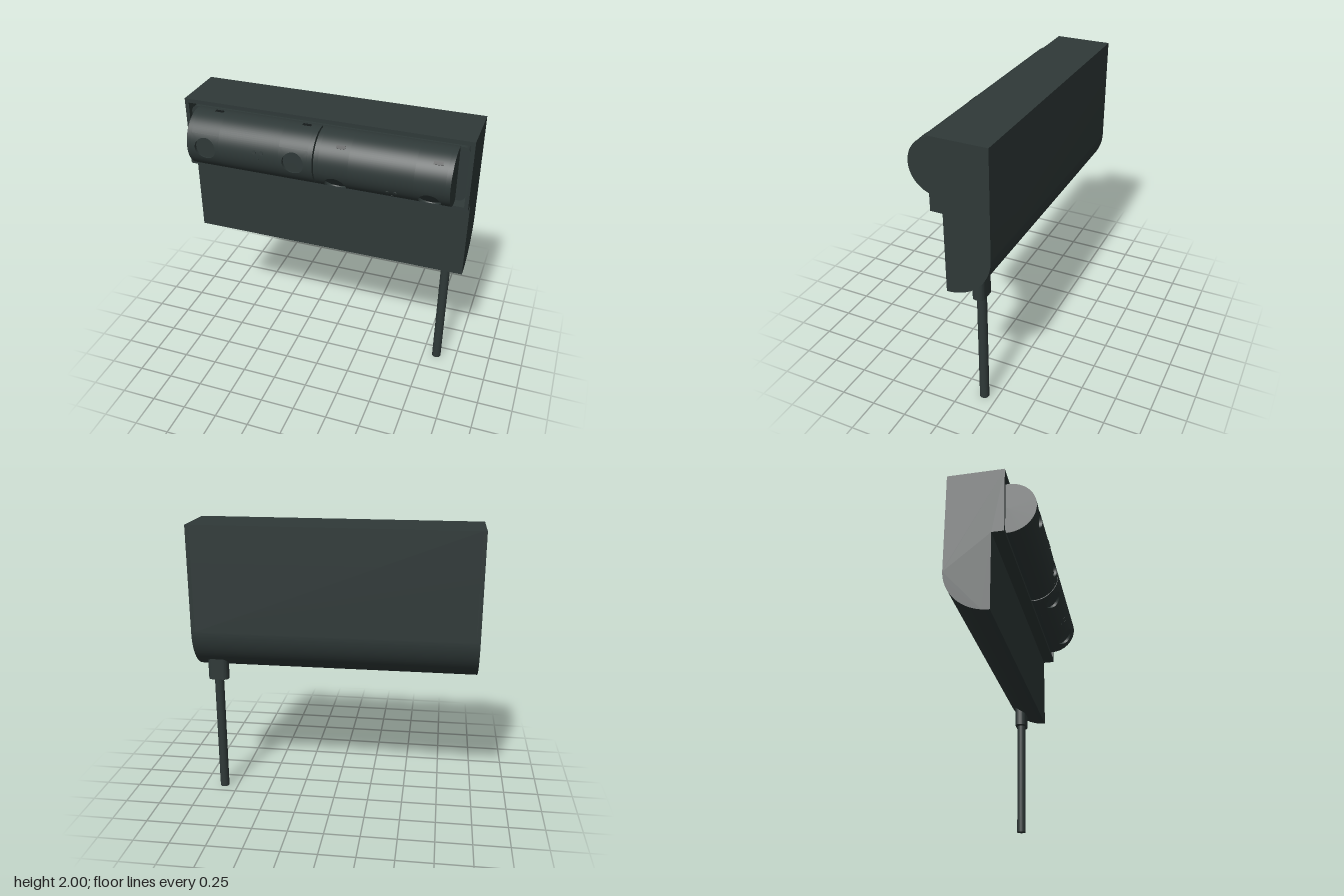
import * as THREE from 'three';
import { toCreasedNormals } from 'three/addons/utils/BufferGeometryUtils.js';

const R = 0.197; // barrel radius
const LENS = 0.075; // lens pocket radius
const PATCH = 0.1; // half width of the surface patch around a lens
const PATCH_ANGLE = PATCH / R;

// Surface from a rule: fn(u, v) returns a point, front side along u x v
function surface(nu, nv, fn) {
  const pos = [], idx = [];
  for (let i = 0; i <= nu; i++)
    for (let j = 0; j <= nv; j++) pos.push(...fn(i / nu, j / nv));
  for (let i = 0; i < nu; i++)
    for (let j = 0; j < nv; j++) {
      const a = i * (nv + 1) + j, b = a + nv + 1;
      idx.push(a, b, b + 1, a, b + 1, a + 1);
    }
  const g = new THREE.BufferGeometry();
  g.setAttribute('position', new THREE.Float32BufferAttribute(pos, 3));
  g.setIndex(idx);
  g.computeVertexNormals();
  return g;
}

const onBarrel = (x, t) => [x, R * Math.sin(t), R * Math.cos(t)];

// Side profile of the housing, with or without the front recess
function housingSlice(x0, x1, recessed) {
  const s = new THREE.Shape();
  s.moveTo(-0.1, 2);
  s.lineTo(0.3, 2);
  s.lineTo(0.3, 1.255);
  s.absarc(-0.015, 1.255, 0.315, 0, -Math.PI / 2, true);
  s.lineTo(-0.015, 1.505);
  s.lineTo(-0.1, 1.505);
  if (recessed) {
    s.lineTo(-0.1, 1.53);
    s.lineTo(0.11, 1.55);
    s.lineTo(0.11, 1.95);
    s.lineTo(-0.1, 1.972);
  }
  s.closePath();
  const g = new THREE.ExtrudeGeometry(s, { depth: x1 - x0, bevelEnabled: false, curveSegments: 32 });
  g.rotateY(Math.PI / 2).translate(x0, 0, 0);
  return toCreasedNormals(g, 0.4);
}

function roundedRect(w, h, r) {
  const s = new THREE.Shape(), x = w / 2 - r, y = h / 2 - r;
  s.absarc(x, y, r, 0, Math.PI / 2);
  s.absarc(-x, y, r, Math.PI / 2, Math.PI);
  s.absarc(-x, -y, r, Math.PI, Math.PI * 1.5);
  s.absarc(x, -y, r, Math.PI * 1.5, Math.PI * 2);
  s.closePath();
  return s;
}

export function createModel() {
  const model = new THREE.Group();
  model.name = 'wallSensor';
  const shell = new THREE.MeshStandardMaterial({ color: 0x2f3938 });
  shell.name = 'dark slate';
  const slotDark = new THREE.MeshStandardMaterial({ color: 0x161b1b });
  slotDark.name = 'slot black';

  const add = (parent, name, geometry, material = shell) => {
    const m = new THREE.Mesh(geometry, material);
    m.name = name;
    parent.add(m);
    return m;
  };

  // Housing: recessed middle between two solid ends
  add(model, 'housingMiddle', housingSlice(-0.968, 0.968, true));
  add(model, 'housingRightEnd', housingSlice(-0.995, -0.968, false));
  add(model, 'housingLeftEnd', housingSlice(0.968, 0.995, false));

  // Rounded plate behind the barrels
  const plate = new THREE.ExtrudeGeometry(roundedRect(1.93, 0.385, 0.045), { depth: 0.18, bevelEnabled: false });
  add(model, 'recessPlate', toCreasedNormals(plate, 0.5)).position.set(0, 1.75, -0.111);

  // One barrel: tube sections, two drilled lens pockets, pinholes and slots
  function barrel(name, x, tilt) {
    const g = new THREE.Group();
    g.name = name;
    g.position.set(x, 1.75, 0.1);
    g.rotation.x = tilt;
    model.add(g);

    const half = 0.4475, lensX = 0.315;
    const tube = (x0, x1, t0, t1) => add(g, 'barrelSkin',
      surface(1, 96, (u, v) => onBarrel(x0 + (x1 - x0) * u, t0 + (t1 - t0) * v)));
    const inner = lensX - PATCH, outer = lensX + PATCH;
    for (const [x0, x1] of [[-half, -outer], [-inner, inner], [outer, half]])
      tube(x0, x1, -Math.PI, Math.PI);

    for (const side of [-1, 1]) {
      const cx = side * lensX;
      tube(cx - PATCH, cx + PATCH, PATCH_ANGLE, 2 * Math.PI - PATCH_ANGLE);

      // Skin from the round rim out to a square edge
      add(g, 'lensSurround', surface(6, 64, (u, v) => {
        const c = Math.cos(v * 2 * Math.PI), s = Math.sin(v * 2 * Math.PI);
        const k = 1 / Math.max(Math.abs(c), Math.abs(s));
        return onBarrel(
          cx + c * THREE.MathUtils.lerp(LENS, PATCH * k, u),
          THREE.MathUtils.lerp(Math.asin(LENS * s / R), PATCH_ANGLE * s * k, u));
      }));

      // Pocket wall and floor
      const floorZ = R - 0.022;
      add(g, 'lensPocketWall', surface(1, 64, (u, v) => {
        const a = v * 2 * Math.PI, y = LENS * Math.sin(a);
        return [cx + LENS * Math.cos(a), y, THREE.MathUtils.lerp(floorZ, Math.sqrt(R * R - y * y), u)];
      }));
      add(g, 'lens', new THREE.CircleGeometry(LENS, 64)).position.set(cx, 0, floorZ);

      // Flat end
      const end = add(g, 'barrelEnd', new THREE.CircleGeometry(R, 96));
      end.rotation.y = side * Math.PI / 2;
      end.position.x = side * half;
    }

    // Pinholes between the lenses
    for (const [px, py, r] of [[0.043, 0.035, 0.013], [0.097, 0.035, 0.013], [0.07, -0.008, 0.006]]) {
      const t = Math.asin(py / R);
      const pin = add(g, 'pinhole', new THREE.CylinderGeometry(r, r, 0.006, 20));
      pin.rotation.x = Math.PI / 2 - t;
      pin.position.set(...onBarrel(px, t));
    }

    // Small slots along the upper side
    for (const sx of [-0.28, 0.35])
      add(g, 'slot', new THREE.BoxGeometry(0.06, 0.004, 0.025), slotDark).position.set(sx, R - 0.0005, 0.005);
  }
  barrel('rightBarrel', -0.4525, 0);
  barrel('leftBarrel', 0.4525, THREE.MathUtils.degToRad(42));

  // Cable with an oval collar
  const collar = new THREE.ExtrudeGeometry(roundedRect(0.146, 0.084, 0.036), { depth: 0.21, bevelEnabled: false });
  collar.rotateX(-Math.PI / 2);
  add(model, 'cableCollar', toCreasedNormals(collar, 0.5)).position.set(0.852, 0.87, -0.158);
  add(model, 'cable', new THREE.CylinderGeometry(0.033, 0.033, 0.9, 32)).position.set(0.852, 0.45, -0.158);

  return model;
}
